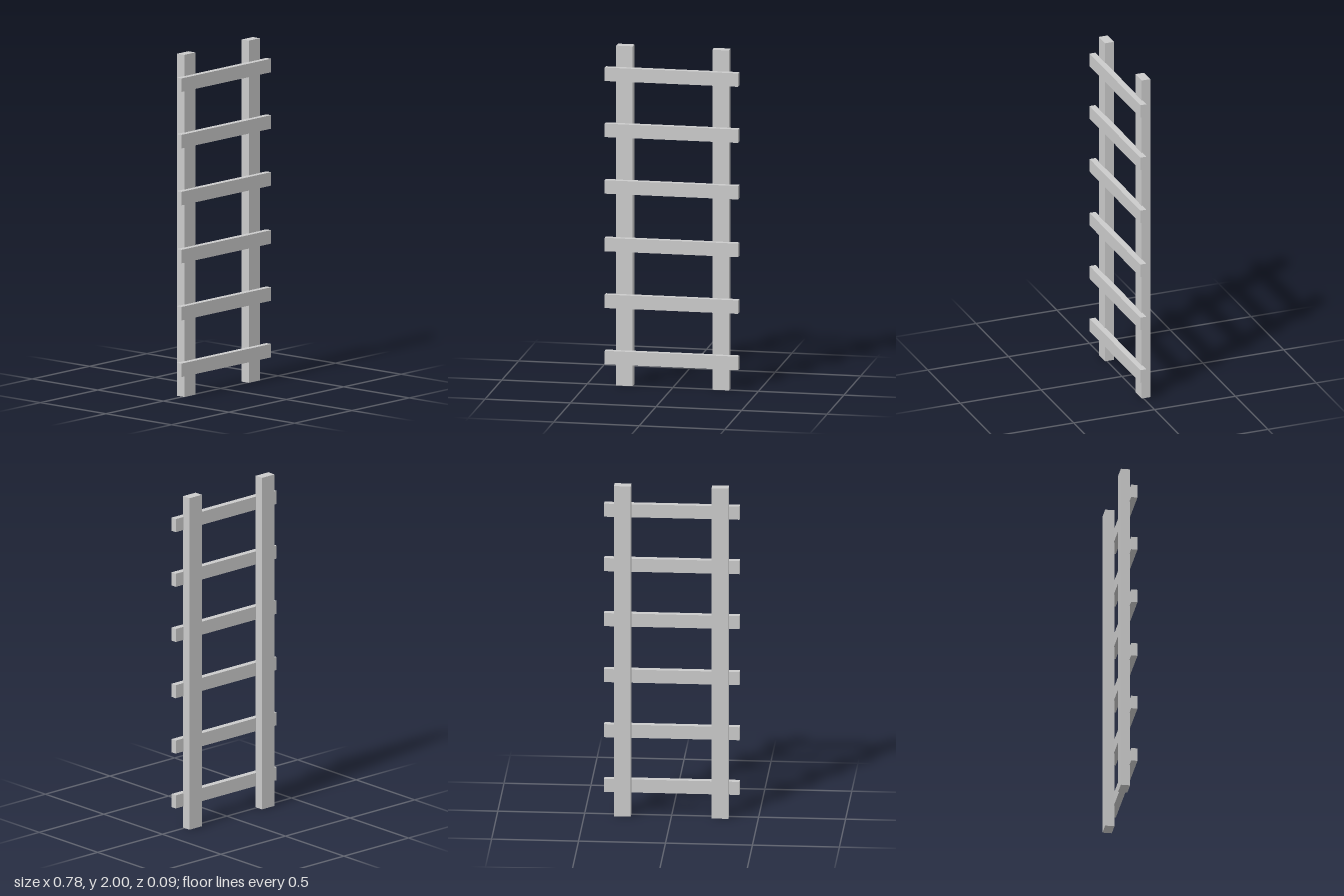
import * as THREE from 'three';

export function createModel() {
  const ladder = new THREE.Group();
  ladder.name = 'ladder';
  const material = new THREE.MeshStandardMaterial({ color: 0xcccccc, flatShading: true });

  const addBox = (name, [w, h, d], [x, y, z]) => {
    const mesh = new THREE.Mesh(new THREE.BoxGeometry(w, h, d), material);
    mesh.name = name;
    mesh.position.set(x, y, z);
    ladder.add(mesh);
  };

  // Two upright rails
  for (const [name, side] of [['leftRail', 1], ['rightRail', -1]]) {
    addBox(name, [0.097, 2, 0.054], [side * 0.281, 1, -0.0165]);
  }

  // Rungs set slightly into the front of the rails
  [0.169, 0.5, 0.834, 1.173, 1.506, 1.836].forEach((y, i) => {
    addBox(`rung${i + 1}`, [0.78, 0.079, 0.037], [0, y, 0.025]);
  });

  return ladder;
}
